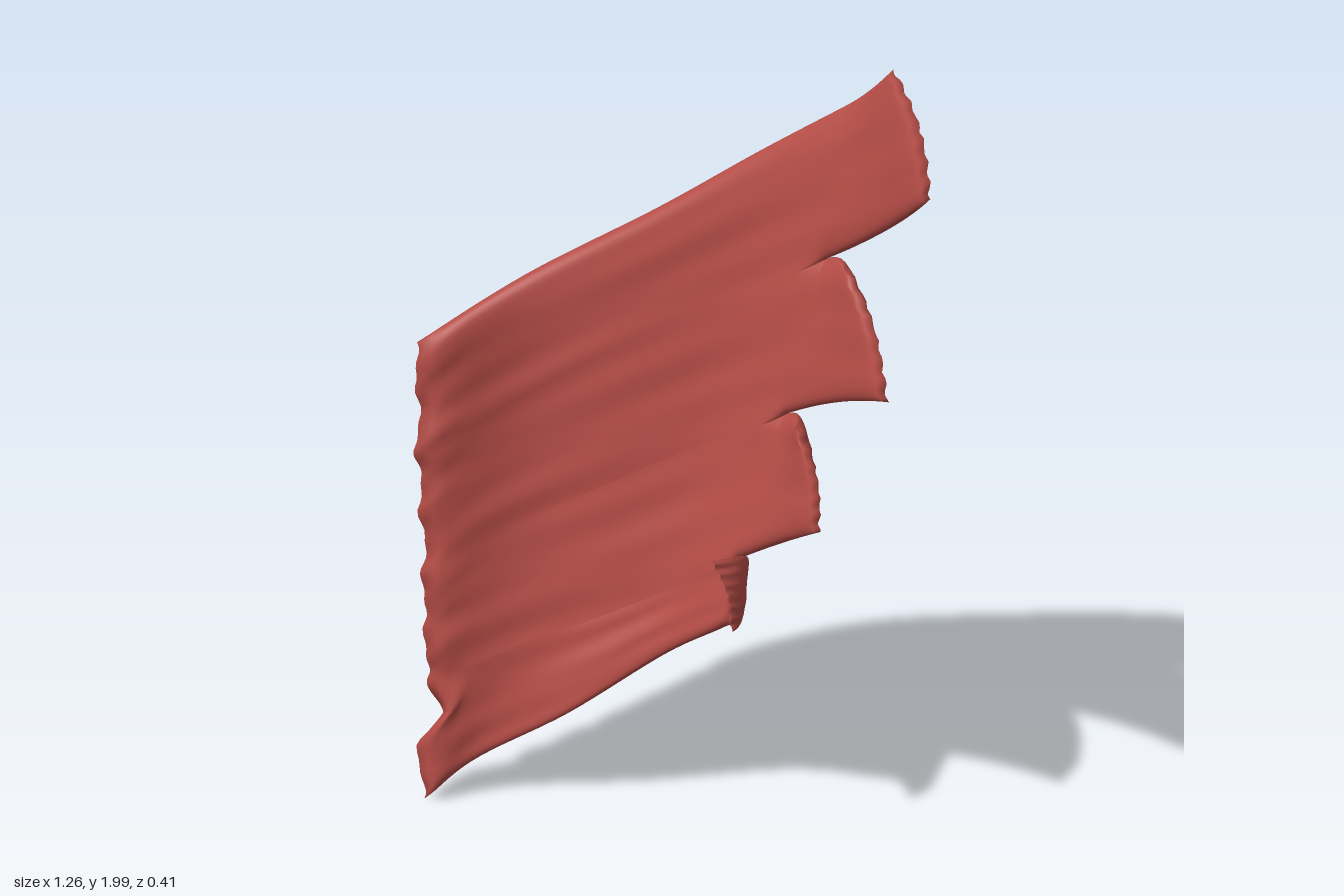
import * as THREE from 'three';
import { mergeVertices } from 'three/addons/utils/BufferGeometryUtils.js';

const V = (p) => new THREE.Vector3(...p);
const ROOT = 32, TIP = 18, ACROSS = 26, HALF = 0.033;

// Fibre lines from the ragged left edge to where the slips separate, lowest first
const roots = [
  [[-0.61, 0, 0.115], [-0.51, 0.1, 0.065], [-0.25, 0.29, 0.035], [0, 0.5, 0.0], [0.155, 0.63, 0.055]],
  [[-0.6, 0.33, 0.095], [-0.4, 0.44, 0.005], [-0.2, 0.54, -0.04], [0, 0.66, -0.05], [0.18, 0.8, 0.02]],
  [[-0.6, 0.63, 0.085], [-0.4, 0.76, -0.045], [-0.2, 0.87, -0.1], [0.05, 1.02, -0.115], [0.27, 1.165, -0.03]],
  [[-0.61, 0.93, 0.065], [-0.4, 1.07, -0.085], [-0.15, 1.23, -0.145], [0.1, 1.38, -0.15], [0.34, 1.535, -0.075]],
  [[-0.615, 1.22, 0.045], [-0.4, 1.365, -0.113], [-0.1, 1.55, -0.178], [0.15, 1.725, -0.18], [0.35, 1.865, -0.14]],
].map((pts) => new THREE.CatmullRomCurve3(pts.map(V)));

// Lower and upper corner of the end of each slip
const tips = [
  [[0.225, 0.7, 0.175], [0.165, 0.86, 0.155]],
  [[0.43, 1.01, 0.195], [0.335, 1.19, 0.08]],
  [[0.57, 1.345, 0.185], [0.41, 1.555, 0.0]],
  [[0.625, 1.79, 0.125], [0.48, 1.99, -0.06]],
].map((pair) => pair.map(V));

// Continue a fibre line past the notch to a slip corner
function tipCurve(root, tip) {
  const start = root.getPoint(1);
  const bend = root.getTangent(1).multiplyScalar(0.45 * start.distanceTo(tip)).add(start);
  return new THREE.QuadraticBezierCurve3(start, bend, tip);
}

const linePoint = (root, tip, i) => (i <= ROOT ? root.getPoint(i / ROOT) : tip.getPoint((i - ROOT) / TIP));

// Long streaks that follow the fibres
const streak = (t, s) =>
  0.4 * Math.sin(t * 31 + 3 * s) + 0.35 * Math.sin(t * 57 - 5 * s + 1) + 0.25 * Math.sin(t * 83 + 9 * s + 2);

const rim = (a, power) => Math.sqrt(Math.max(0, 1 - Math.pow(Math.abs(a), power)));
const bump = (t, at, width) => Math.exp(-(((t - at) / width) ** 2));

function buildSheet() {
  const pos = [], index = [];
  const rows = ROOT + TIP + 1, cols = ACROSS + 1;
  for (let f = 0; f < 4; f++) {
    const low = tipCurve(roots[f], tips[f][0]);
    const high = tipCurve(roots[f + 1], tips[f][1]);
    const base = pos.length / 3;
    for (const side of [1, -1]) {
      for (let i = 0; i < rows; i++) {
        const s = i / (rows - 1);
        const v = Math.max(0, (i - ROOT) / TIP);
        const a = linePoint(roots[f], low, i), b = linePoint(roots[f + 1], high, i);
        // Direction through the thickness turns with the bend of the sheet
        const n = new THREE.Vector3(0.45 - 0.75 * s - 0.35 * v, 0.12 + 0.3 * v, 0.9).normalize();
        const along = new THREE.Vector3(0.75, 0.45, 0.45).normalize();
        for (let j = 0; j < cols; j++) {
          const u = 0.5 - 0.5 * Math.cos(Math.PI * j / ACROSS);
          const t = (f + u) / 4;
          const p = a.clone().lerp(b, u);
          // Rounded, slightly frayed slip ends
          p.addScaledVector(along, v * v * (0.03 * Math.sin(Math.PI * u) + v ** 4 * 0.006 * Math.sin(u * 41 + f)));
          // Frayed left edge with a tab and notch near the bottom
          const fray = Math.max(0, 1 - i / 4);
          p.x += fray * (0.005 * Math.sin(t * 47) + 0.004 * Math.sin(t * 97));
          p.x += fray * (0.045 * bump(t, 0.19, 0.03) - 0.022 * bump(t, 0.09, 0.05));
          p.z += fray * (0.006 * Math.sin(t * 41 + 1) + 0.005 * Math.sin(t * 19));
          // Thickness closes to nothing along every free edge
          let h = HALF * (1 - 0.3 * v) * rim(v, 6);
          if (i < 3) h *= rim(1 - i / 3, 2);
          const c = 2 * u - 1;
          const free = i >= ROOT || (f === 0 && c < 0) || (f === 3 && c > 0);
          if (free) h *= rim(c, 6);
          h *= 1 + 0.11 * streak(t, s + side);
          p.addScaledVector(n, side * h);
          pos.push(p.x, p.y, p.z);
        }
      }
    }
    for (let k = 0; k < 2; k++) {
      for (let i = 0; i < rows - 1; i++) {
        for (let j = 0; j < ACROSS; j++) {
          const q = base + k * rows * cols + i * cols + j;
          const r = q + cols;
          if (k === 0) index.push(q, r, r + 1, q, r + 1, q + 1);
          else index.push(q, r + 1, r, q, q + 1, r + 1);
        }
      }
    }
  }
  let geo = new THREE.BufferGeometry();
  geo.setAttribute('position', new THREE.Float32BufferAttribute(pos, 3));
  geo.setIndex(index);
  geo = mergeVertices(geo, 1e-4);
  geo.computeVertexNormals();
  // Centre it and stand it on the ground
  geo.computeBoundingBox();
  const { min, max } = geo.boundingBox;
  geo.translate(-(min.x + max.x) / 2, -min.y, -(min.z + max.z) / 2);
  return geo;
}

export function createModel() {
  const group = new THREE.Group();
  group.name = 'muscle';
  const red = new THREE.MeshStandardMaterial({ color: 0xb44c46 });
  red.name = 'muscleRed';
  const sheet = new THREE.Mesh(buildSheet(), red);
  sheet.name = 'muscleSheet';
  group.add(sheet);
  return group;
}
